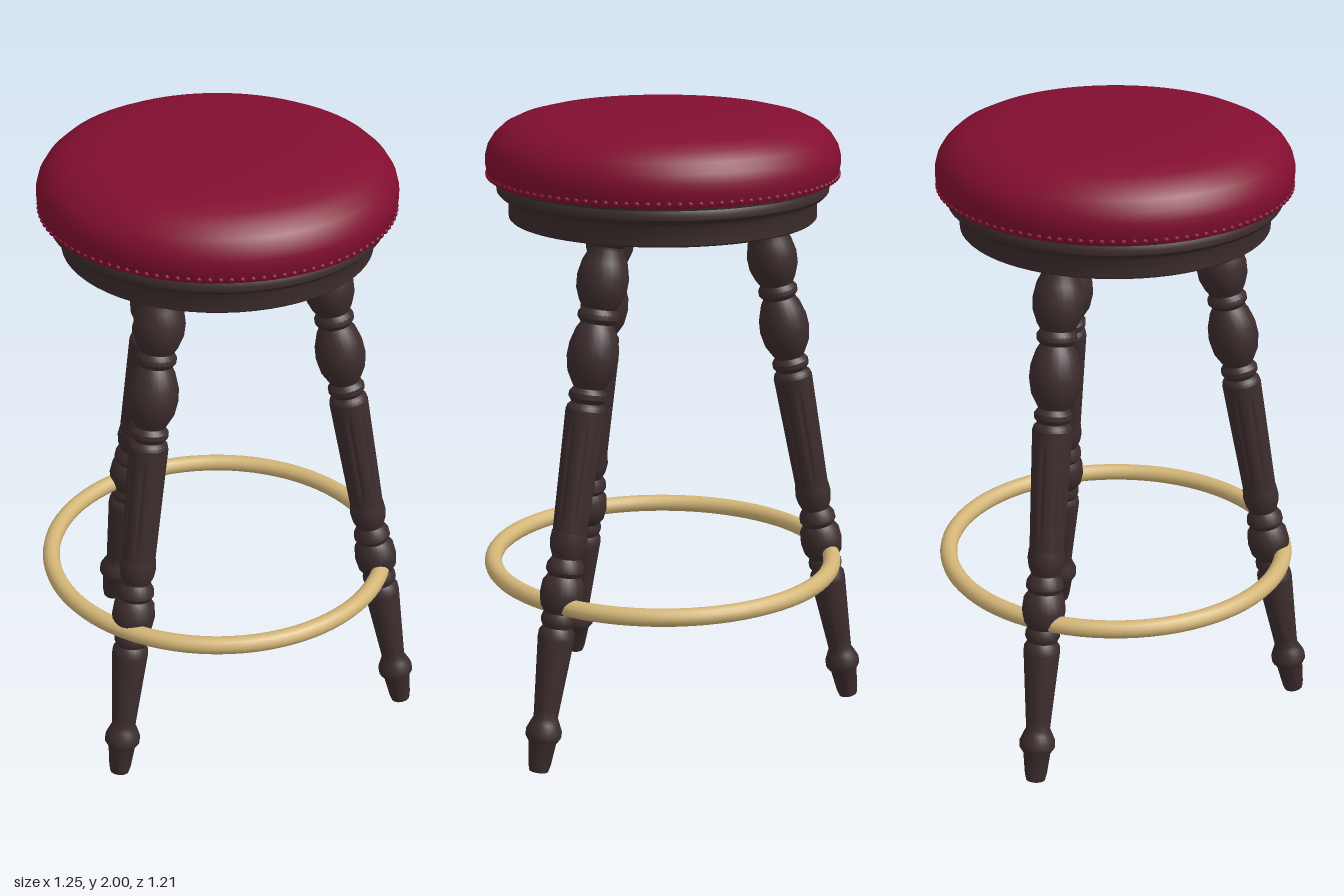
import * as THREE from 'three';
import { toCreasedNormals } from 'three/addons/utils/BufferGeometryUtils.js';

const wood = new THREE.MeshStandardMaterial({ color: 0x3c2c2d });
wood.name = 'darkWood';
const leather = new THREE.MeshStandardMaterial({ color: 0x820e30 });
leather.name = 'redLeather';
const brass = new THREE.MeshStandardMaterial({ color: 0xd3b577 });
brass.name = 'brass';

const CENTRE_Z = -0.03;

function lathe(name, points, segments, material, crease = 0.6) {
  const profile = points.map(([r, y]) => new THREE.Vector2(r, y));
  const geometry = toCreasedNormals(new THREE.LatheGeometry(profile, segments), crease);
  const mesh = new THREE.Mesh(geometry, material);
  mesh.name = name;
  return mesh;
}

// Turned leg profiles, [radius, height]
const lowerTurning = [
  [0, 0], [0.03, 0], [0.035, 0.02], [0.043, 0.09], [0.056, 0.11], [0.056, 0.13], [0.045, 0.155],
  [0.038, 0.17], [0.04, 0.2], [0.057, 0.42], [0.056, 0.44], [0.046, 0.455], [0.054, 0.47],
  [0.054, 0.485], [0.048, 0.5], [0.062, 0.52], [0.068, 0.555], [0.064, 0.595], [0.05, 0.615],
  [0.059, 0.63], [0.057, 0.65], [0.044, 0.67], [0.054, 0.695], [0.058, 0.72], [0.055, 0.75], [0, 0.75],
];
const upperTurning = [
  [0, 1.12], [0.062, 1.12], [0.058, 1.135], [0.047, 1.145], [0.058, 1.16], [0.058, 1.175],
  [0.046, 1.19], [0.055, 1.205], [0.071, 1.235], [0.079, 1.28], [0.076, 1.32], [0.062, 1.365],
  [0.05, 1.385], [0.062, 1.4], [0.062, 1.415], [0.052, 1.43], [0.064, 1.45], [0.077, 1.485],
  [0.079, 1.525], [0.069, 1.57], [0.052, 1.605], [0.052, 1.615], [0.066, 1.63], [0.072, 1.66], [0.072, 1.69],
];

// Shaft with eight narrow grooves that stop short of both ends
function flutedShaft() {
  const geometry = new THREE.CylinderGeometry(0.062, 0.053, 0.38, 64, 12, true);
  const p = geometry.attributes.position;
  for (let i = 0; i < p.count; i++) {
    const angle = Math.atan2(p.getX(i), p.getZ(i));
    const groove = Math.max(0, Math.cos(angle * 8 + Math.PI)) ** 4;
    const k = Math.abs(p.getY(i)) < 0.15 ? 1 - 0.1 * groove : 1;
    p.setX(i, p.getX(i) * k);
    p.setZ(i, p.getZ(i) * k);
  }
  geometry.computeVertexNormals();
  const mesh = new THREE.Mesh(geometry, wood);
  mesh.name = 'flutedShaft';
  mesh.position.y = 0.935;
  return mesh;
}

// Splayed leg from a foot point to the point where it meets the seat
function leg(name, foot, top) {
  const group = new THREE.Group();
  group.name = name;
  group.add(
    lathe('lowerTurning', lowerTurning, 24, wood),
    flutedShaft(),
    lathe('upperTurning', upperTurning, 24, wood),
  );
  const axis = new THREE.Vector3().subVectors(top, foot);
  group.scale.y = axis.length() / 1.66;
  group.position.copy(foot);
  group.quaternion.setFromUnitVectors(new THREE.Vector3(0, 1, 0), axis.normalize());
  return group;
}

function seat() {
  const group = new THREE.Group();
  group.name = 'seat';
  group.position.z = CENTRE_Z;

  // Wooden base with a rounded moulding
  group.add(lathe('seatBase', [
    [0, 1.663], [0.475, 1.663], [0.48, 1.668], [0.48, 1.72], [0.487, 1.733], [0.505, 1.738],
    [0.516, 1.75], [0.518, 1.765], [0.512, 1.778], [0.515, 1.79], [0, 1.79],
  ], 64, wood));

  // Domed cushion
  group.add(lathe('cushion', [
    [0.5, 1.786], [0.538, 1.79], [0.545, 1.805], [0.55, 1.835], [0.55, 1.86], [0.542, 1.89],
    [0.523, 1.92], [0.492, 1.948], [0.45, 1.968], [0.39, 1.983], [0.3, 1.992], [0.16, 1.998], [0, 2],
  ], 80, leather, 0.9));

  // Row of small covered studs around the lower edge
  const count = 110;
  const stud = new THREE.SphereGeometry(0.009, 8, 6);
  const studs = new THREE.Group();
  studs.name = 'studs';
  for (let i = 0; i < count; i++) {
    const a = (i / count) * Math.PI * 2;
    const mesh = new THREE.Mesh(stud, leather);
    mesh.name = 'stud';
    mesh.position.set(0.542 * Math.sin(a), 1.803, 0.542 * Math.cos(a));
    studs.add(mesh);
  }
  group.add(studs);
  return group;
}

export function createModel() {
  const model = new THREE.Group();
  model.name = 'barStool';
  model.add(seat());

  // One front leg and a mirrored pair at the back
  const v = (x, y, z) => new THREE.Vector3(x, y, z);
  model.add(leg('frontLeg', v(0, 0.008, 0.57), v(0, 1.67, 0.275)));
  for (const [name, s] of [['backLeftLeg', 1], ['backRightLeg', -1]]) {
    model.add(leg(name, v(s * 0.59, 0.008, -0.26), v(s * 0.28, 1.67, -0.18)));
  }

  // Foot ring
  const ring = new THREE.Mesh(new THREE.TorusGeometry(0.55, 0.028, 14, 80), brass);
  ring.name = 'footRing';
  ring.rotation.x = Math.PI / 2;
  ring.position.set(0, 0.535, CENTRE_Z);
  model.add(ring);

  return model;
}
